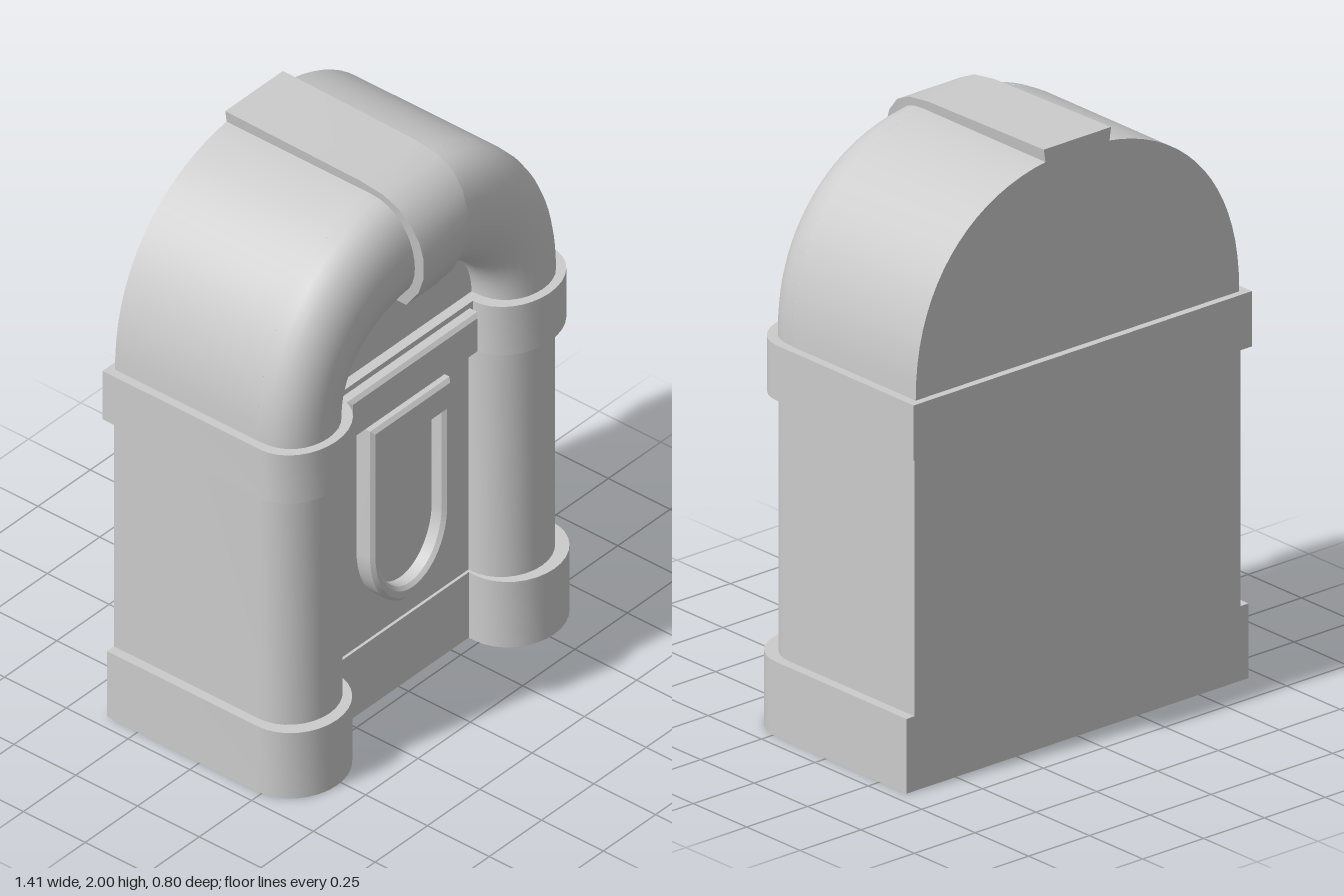
import * as THREE from 'three';
import { toCreasedNormals } from 'three/addons/utils/BufferGeometryUtils.js';
import { ParametricGeometry } from 'three/addons/geometries/ParametricGeometry.js';

const material = new THREE.MeshStandardMaterial({ color: 0xcccccc });
const SPRING = 1.3; // height where the arch begins
const BACK = -0.375;
const PANEL = 0.2; // depth of the recessed front

function part(name, geometry) {
  const mesh = new THREE.Mesh(geometry, material);
  mesh.name = name;
  return mesh;
}

function extrude(shape, depth, bevel = 0) {
  const geo = new THREE.ExtrudeGeometry(shape, {
    depth, bevelEnabled: bevel > 0, bevelSize: bevel, bevelThickness: bevel,
    bevelOffset: -bevel, bevelSegments: 1, curveSegments: 20,
  });
  return toCreasedNormals(geo, 0.6);
}

// Plan with two rounded pillars at the front and a recess between them
function tier(name, y0, y1, { outer, inner, front, back, panel, shoulder }) {
  const cx = (outer + inner) / 2, rx = (outer - inner) / 2;
  const half = [new THREE.Vector2(outer, back)];
  for (let i = 0; i <= 16; i++) {
    const a = (i / 16) * Math.PI;
    half.push(new THREE.Vector2(cx + rx * Math.cos(a), shoulder + (front - shoulder) * Math.sin(a)));
  }
  half.push(new THREE.Vector2(inner, panel));
  const mirrored = half.map((p) => new THREE.Vector2(-p.x, p.y)).reverse();
  // shape y is -z, so that the extrusion rises along +y once laid down
  const points = [...half, ...mirrored].map((p) => new THREE.Vector2(p.x, -p.y));
  const geo = extrude(new THREE.Shape(points), y1 - y0);
  geo.rotateX(-Math.PI / 2).translate(0, y0, 0);
  return part(name, geo);
}

// Point on the slightly squared arch
function archPoint(t, rx, ry) {
  const c = Math.cos(t), s = Math.max(0, Math.sin(t));
  return [Math.sign(c) * rx * Math.abs(c) ** 0.9, SPRING + ry * s ** 0.9];
}

// U-shaped outline with a rounded bottom
function doorOutline(target, w, top, bend, bottom) {
  target.moveTo(w, top);
  target.lineTo(-w, top);
  target.lineTo(-w, bend);
  target.absellipse(0, bend, w, bend - bottom, Math.PI, Math.PI * 2, false);
  target.closePath();
  return target;
}

export function createModel() {
  const model = new THREE.Group();
  model.name = 'jukebox';

  // Stacked cabinet tiers
  model.add(
    tier('base', 0, 0.25, { outer: 0.703, inner: 0.335, front: 0.4, back: BACK, panel: 0.21, shoulder: 0.235 }),
    tier('cabinet', 0.25, 1.12, { outer: 0.67, inner: 0.345, front: 0.36, back: BACK, panel: PANEL, shoulder: 0.21 }),
    tier('band', 1.12, 1.305, { outer: 0.695, inner: 0.325, front: 0.39, back: -0.4, panel: 0.235, shoulder: 0.24 }),
  );

  // Arched top
  const crown = new THREE.Shape(
    Array.from({ length: 41 }, (_, i) => new THREE.Vector2(...archPoint((i / 40) * Math.PI, 0.665, 0.665))),
  );
  model.add(part('archedTop', extrude(crown, PANEL - BACK).translate(0, 0, BACK)));

  // Rounded tube that follows the arch, narrower at the sides than at the top
  const tube = new ParametricGeometry((u, v, target) => {
    const [ox, oy] = archPoint(u * Math.PI, 0.665, 0.665);
    const [ix, iy] = archPoint(u * Math.PI, 0.36, 0.265);
    const k = (1 - Math.cos(v * Math.PI)) / 2;
    const bulge = Math.max(0, Math.sin(v * Math.PI)) ** 0.8;
    target.set(ox + (ix - ox) * k, oy + (iy - oy) * k, PANEL + 0.16 * bulge);
  }, 48, 16);
  model.add(part('archTube', tube));

  // Keystone: side profile (z, y) swept across x, then tapered towards the bottom
  const profile = [
    [BACK, 1.9], [0.15, 1.9], [0.18, 1.54], [0.3, 1.54], [0.36, 1.62], [0.388, 1.69], [0.4, 1.78],
    [0.392, 1.84], [0.365, 1.9], [0.32, 1.95], [0.26, 1.978], [0.17, 1.99], [BACK, 2],
  ].map(([z, y]) => new THREE.Vector2(-z, y));
  const key = new THREE.ExtrudeGeometry(new THREE.Shape(profile), { depth: 2, bevelEnabled: false });
  key.translate(0, 0, -1).rotateY(Math.PI / 2);
  const pos = key.attributes.position;
  for (let i = 0; i < pos.count; i++) {
    pos.setX(i, pos.getX(i) * (0.07 + (pos.getY(i) - 1.54) * 0.148));
  }
  model.add(part('keystone', toCreasedNormals(key, 0.6)));

  // Plaque with a raised border
  const border = new THREE.Shape();
  border.moveTo(-0.31, 1.135).lineTo(0.31, 1.135).lineTo(0.31, 1.285).lineTo(-0.31, 1.285).closePath();
  model.add(part('plaque', extrude(border, 0.04, 0.012).translate(0, 0, 0.225)));

  // Door frame and its recessed pane
  const frame = doorOutline(new THREE.Shape(), 0.19, 1.1, 0.62, 0.37);
  frame.holes.push(doorOutline(new THREE.Path(), 0.152, 0.985, 0.62, 0.42));
  model.add(part('doorFrame', extrude(frame, 0.06, 0.012).translate(0, 0, 0.195)));
  const pane = doorOutline(new THREE.Shape(), 0.16, 1.0, 0.62, 0.41);
  model.add(part('doorPane', extrude(pane, 0.03).translate(0, 0, 0.185)));

  return model;
}
